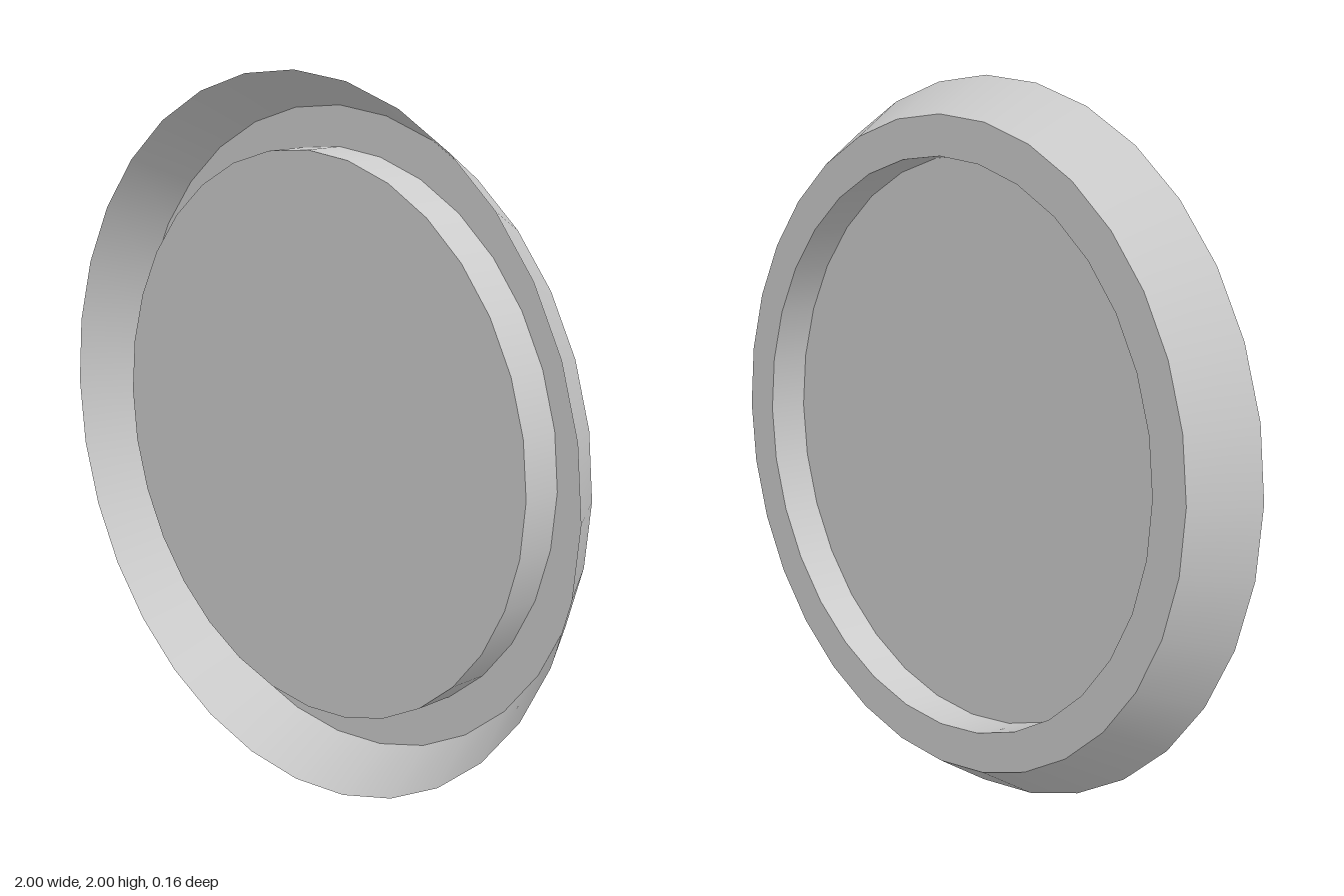
import * as THREE from 'three';

const SIDES = 32;
const RIM_R = 1, BASE_R = 0.9, PANEL_R = 0.79;
const FRONT_Z = 0.082, BACK_Z = -0.082, PANEL_Z = 0.035;

export function createModel() {
  const group = new THREE.Group();
  group.name = 'dish';
  const material = new THREE.MeshStandardMaterial({ color: 0xcccccc, side: THREE.DoubleSide });

  const add = (name, geometry, z = 0) => {
    const mesh = new THREE.Mesh(geometry, material);
    mesh.name = name;
    mesh.position.set(0, 1, z);
    group.add(mesh);
  };

  // Thin wall turned about the z axis, from (r0, z0) to (r1, z1)
  const wall = (r0, z0, r1, z1) =>
    new THREE.LatheGeometry([new THREE.Vector2(r0, z0), new THREE.Vector2(r1, z1)], SIDES)
      .rotateX(Math.PI / 2);

  // Flared rim, widening towards the front
  add('flaredRim', wall(BASE_R, BACK_Z, RIM_R, FRONT_Z));
  // Flat ring at the back of the rim
  add('backRing', new THREE.RingGeometry(PANEL_R, BASE_R, SIDES), BACK_Z);
  // Step that lifts the centre panel forward, hollow from behind
  add('panelStep', wall(PANEL_R, BACK_Z, PANEL_R, PANEL_Z));
  // Raised centre panel
  add('centrePanel', new THREE.CircleGeometry(PANEL_R, SIDES), PANEL_Z);

  return group;
}
